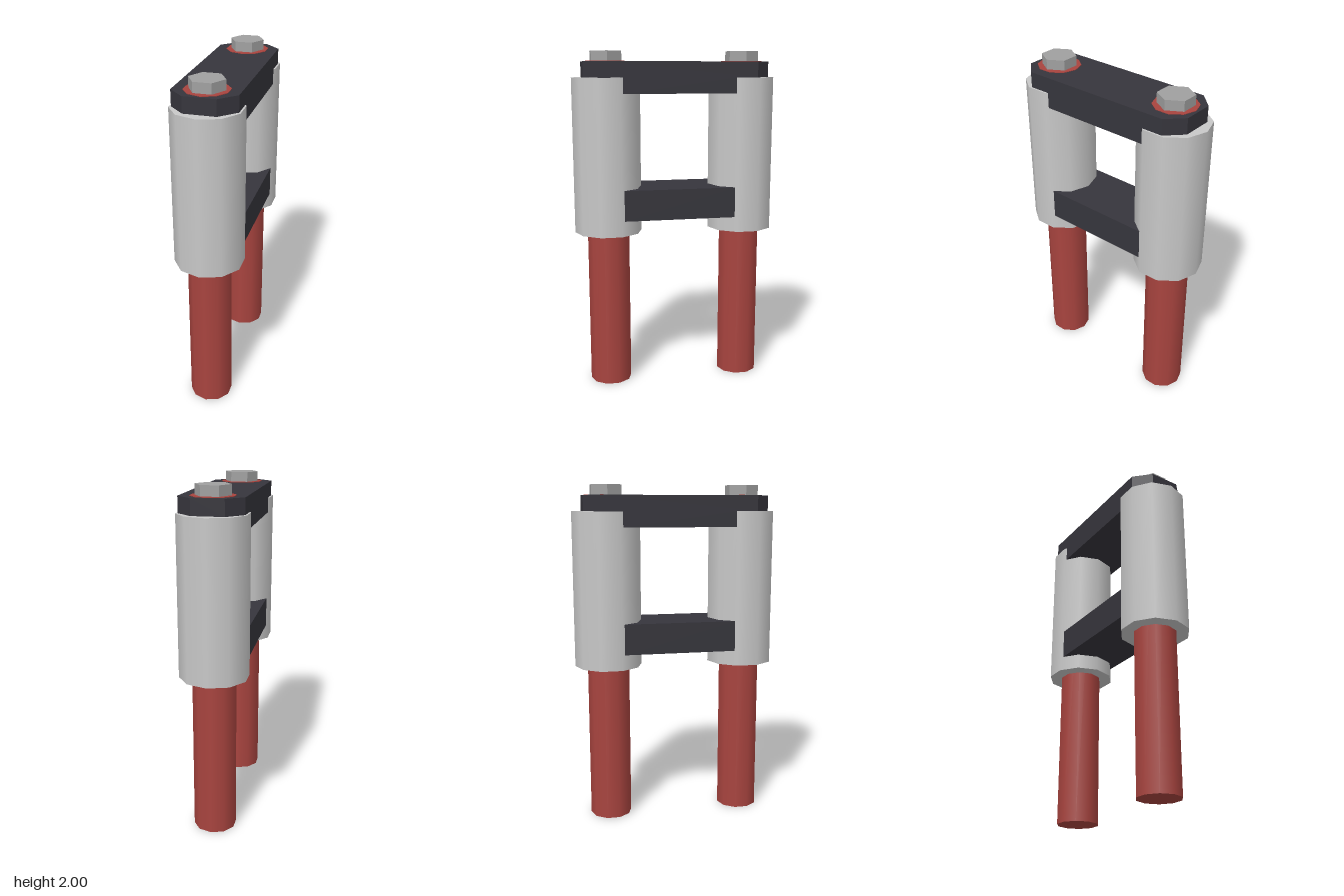
import * as THREE from 'three';

const mat = (name, color) => {
  const m = new THREE.MeshStandardMaterial({ color });
  m.name = name;
  return m;
};

export function createModel() {
  const model = new THREE.Group();
  model.name = 'twinPostFrame';

  const red = mat('red', 0xa8443f);
  const lightGrey = mat('lightGrey', 0xc8c8c8);
  const midGrey = mat('midGrey', 0xa0a0a0);
  const charcoal = mat('charcoal', 0x36353c);
  midGrey.flatShading = true;

  const add = (name, geometry, material, y, z = 0) => {
    const mesh = new THREE.Mesh(geometry, material);
    mesh.name = name;
    mesh.position.set(0, y, z);
    model.add(mesh);
    return mesh;
  };

  // Upright column given by its bottom and top heights
  const column = (name, radius, y0, y1, sides, material, z, start = 0) =>
    add(name, new THREE.CylinderGeometry(radius, radius, y1 - y0, sides, 1, false, start),
      material, (y0 + y1) / 2, z);

  // Two posts, each with a ten-sided rod, a sleeve and a hex bolt
  for (const [side, z] of [['front', 0.407], ['back', -0.407]]) {
    column(side + 'Rod', 0.125, 0, 1.943, 10, red, z);
    column(side + 'Sleeve', 0.2, 0.94, 1.85, 10, lightGrey, z);
    column(side + 'Bolt', 0.1, 1.94, 2, 6, midGrey, z, Math.PI / 2);
  }

  // Top plate with chamfered corners
  const outline = [
    [0.18, 0.455], [0.09, 0.545], [-0.09, 0.545], [-0.18, 0.455],
    [-0.18, -0.455], [-0.09, -0.545], [0.09, -0.545], [0.18, -0.455],
  ].map(([x, z]) => new THREE.Vector2(x, z));
  const plate = new THREE.ExtrudeGeometry(new THREE.Shape(outline), { depth: 0.09, bevelEnabled: false });
  plate.rotateX(-Math.PI / 2);
  add('topPlate', plate, charcoal, 1.85);

  // Cross bars between the sleeves
  add('upperBar', new THREE.BoxGeometry(0.36, 0.09, 0.66), charcoal, 1.805);
  add('lowerBar', new THREE.BoxGeometry(0.36, 0.18, 0.66), charcoal, 1.12);

  return model;
}
